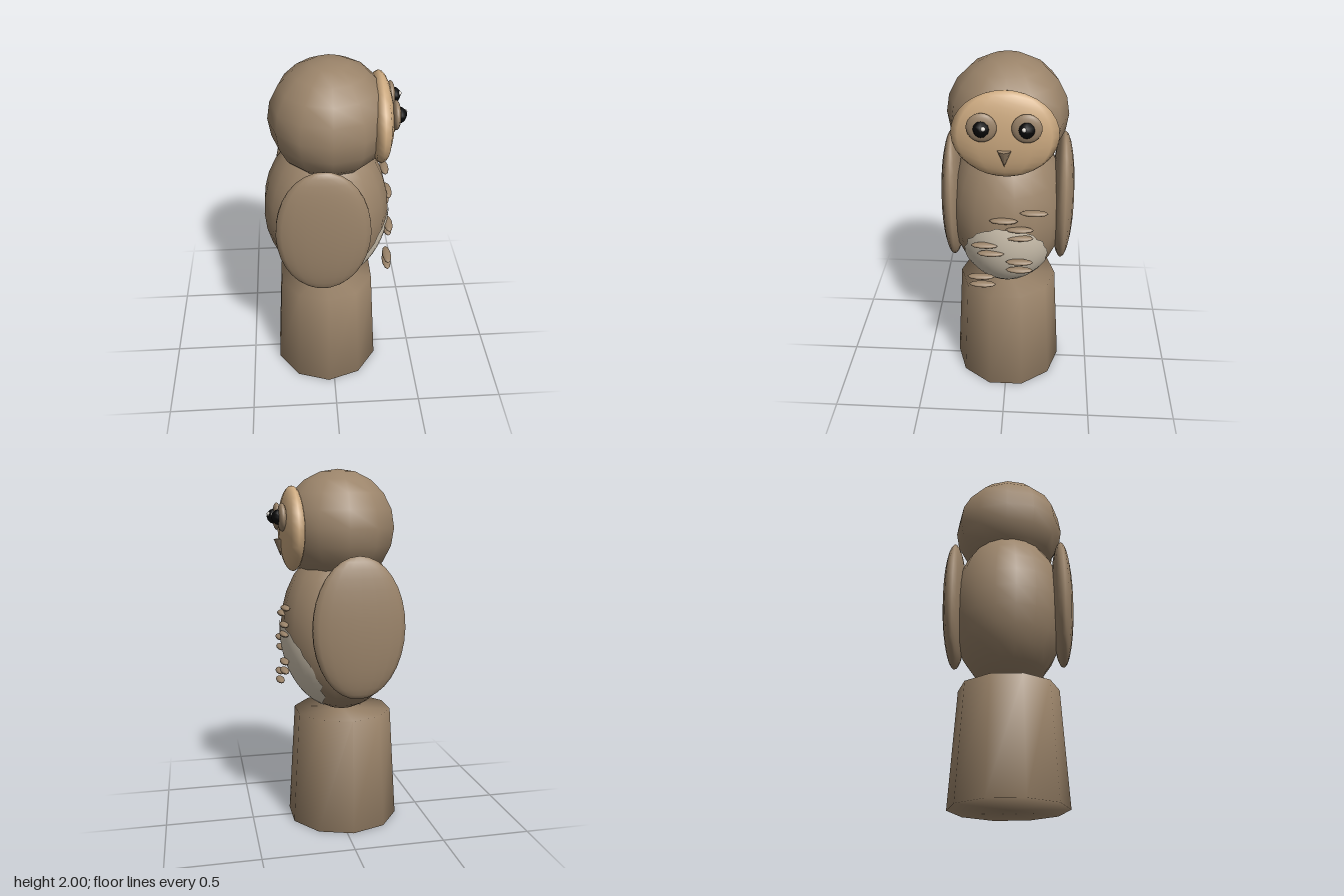
import * as THREE from 'three';
import { mergeVertices } from 'three/addons/utils/BufferGeometryUtils.js';

const mat = (name, color) => {
  const m = new THREE.MeshStandardMaterial({ color });
  m.name = name;
  return m;
};

export function createModel() {
  const brown = mat('featherBrown', 0x9b846a);
  const tan = mat('faceTan', 0xcfac82);
  const cream = mat('bellyCream', 0xd8ccb8);
  const black = mat('pupilBlack', 0x080808);
  const white = mat('glintWhite', 0xf5f0e8);

  const owl = new THREE.Group();
  owl.name = 'owl';

  const add = (name, geometry, material, x, y, z) => {
    const mesh = new THREE.Mesh(geometry, material);
    mesh.name = name;
    mesh.position.set(x, y, z);
    owl.add(mesh);
  };
  // Ellipsoid with a mesh vertex on the z axis
  const ellipsoid = (rx, ry, rz, w = 16, h = 12) =>
    new THREE.SphereGeometry(1, w, h).rotateY(Math.PI / 2).scale(rx, ry, rz);

  // Tree stump perch, shaded smoothly over its rims
  const cylinder = new THREE.CylinderGeometry(0.28, 0.32, 0.645, 10);
  cylinder.deleteAttribute('normal');
  cylinder.deleteAttribute('uv');
  const stump = mergeVertices(cylinder);
  stump.computeVertexNormals();
  add('stump', stump, brown, -0.035, 0.3225, 0);

  // Body and head
  const body = { x: -0.032, y: 1.125, rx: 0.348, ry: 0.475, rz: 0.326 };
  add('body', ellipsoid(body.rx, body.ry, body.rz, 18, 14), brown, body.x, body.y, 0);
  add('head', ellipsoid(0.32, 0.313, 0.32, 12, 10), brown, -0.01, 1.687, 0);

  // Belly patch: a polar disc with a ragged edge, laid over the front of the body
  const rings = 8, spokes = 36, pos = [], normals = [], index = [];
  const n = new THREE.Vector3();
  for (let i = 0; i <= rings; i++) {
    for (let j = 0; j < spokes; j++) {
      const a = (j / spokes) * Math.PI * 2;
      const r = i < rings ? i / rings : 1 + 0.025 * Math.sin(j * 2.6);
      const y = 0.925 + 0.245 * r * Math.sin(a) - body.y;
      const z = 0.23 * r * Math.cos(a);
      const d = 1 - (y / body.ry) ** 2 - (z / body.rz) ** 2;
      const x = body.rx * Math.sqrt(Math.max(d, 0));
      pos.push(x, y, z);
      n.set(x / body.rx ** 2, y / body.ry ** 2, z / body.rz ** 2).normalize();
      normals.push(n.x, n.y, n.z);
      if (i < rings) {
        const p = i * spokes + j, q = i * spokes + (j + 1) % spokes;
        index.push(p, q, p + spokes, q, q + spokes, p + spokes);
      }
    }
  }
  const patch = new THREE.BufferGeometry();
  patch.setAttribute('position', new THREE.Float32BufferAttribute(pos, 3));
  patch.setAttribute('normal', new THREE.Float32BufferAttribute(normals, 3));
  patch.setIndex(index);
  add('bellyPatch', patch, cream, body.x + 0.006, body.y, 0);

  // Face disc and beak
  add('faceDisc', ellipsoid(0.07, 0.23, 0.27, 12, 16), tan, 0.248, 1.68, 0);
  add('beak', new THREE.ConeGeometry(0.036, 0.09, 8).rotateX(Math.PI), brown, 0.312, 1.58, 0);

  // Mirrored eyes and wings
  for (const [side, s] of [['left', -1], ['right', 1]]) {
    add(side + 'EyeRing', ellipsoid(0.024, 0.075, 0.075), brown, 0.316, 1.745, s * 0.11);
    add(side + 'Pupil', ellipsoid(0.042, 0.042, 0.042, 8, 6), black, 0.33, 1.745, s * 0.11);
    add(side + 'Glint', ellipsoid(0.012, 0.012, 0.012, 8, 6), white, 0.361, 1.758, s * 0.098);
    add(side + 'Wing', ellipsoid(0.255, 0.385, 0.065, 18, 16), brown, -0.061, 1.165, s * 0.308);
  }

  // Chest feather flecks, from top to bottom
  const fleckZ = [-0.153, 0.005, -0.08, -0.08, 0.106, 0.074, -0.08, -0.08, 0.13, 0.122];
  const fleck = ellipsoid(0.025, 0.015, 0.075, 10, 8);
  fleckZ.forEach((z, i) => add('chestFleck', fleck, brown, 0.31, 1.267 - i * 0.0519, z));

  return owl;
}
